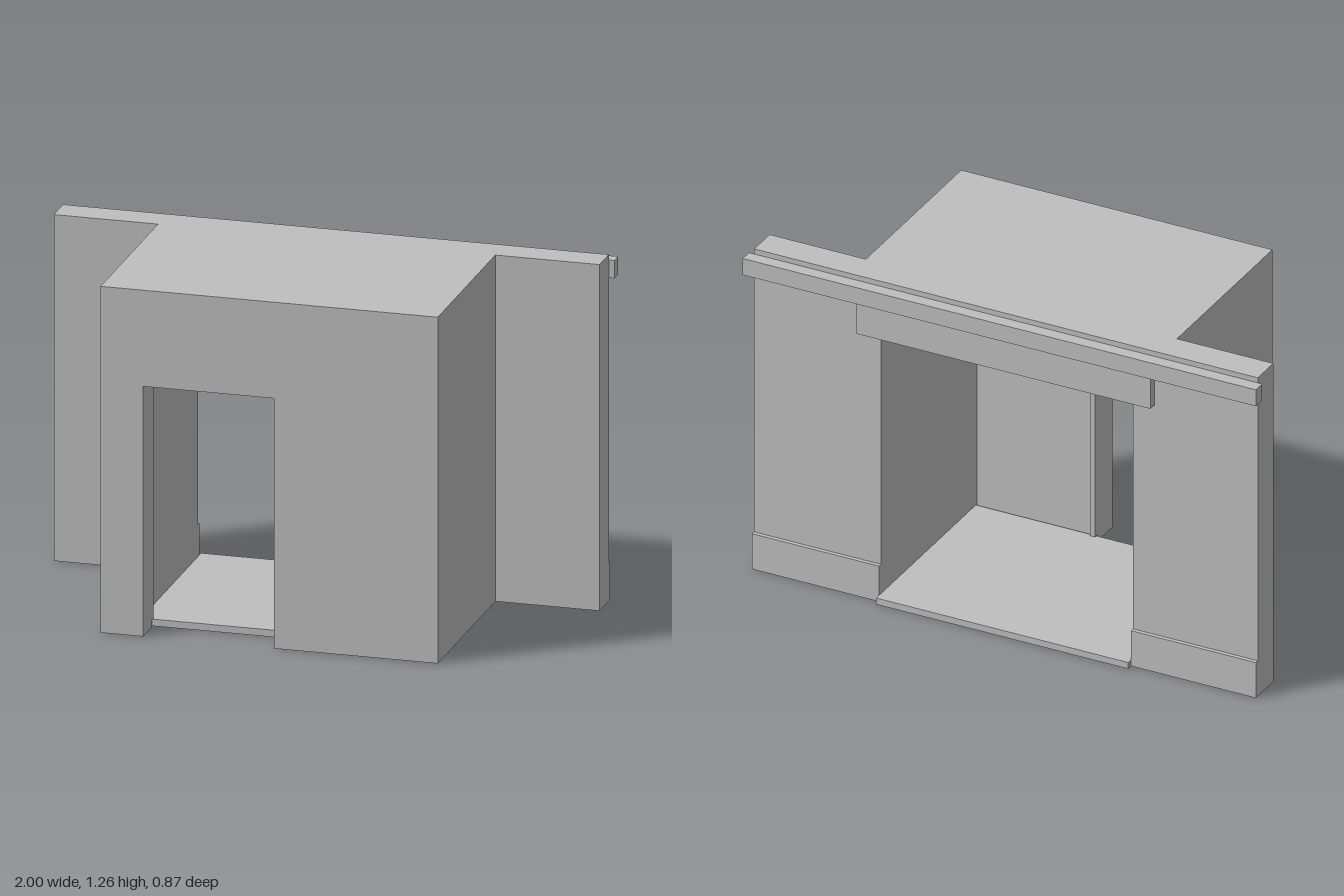
import * as THREE from 'three';

export function createModel() {
  const model = new THREE.Group();
  model.name = 'entranceRoom';
  const grey = new THREE.MeshStandardMaterial({ color: 0xbfbfbf });
  grey.name = 'plain grey';

  function add(name, geometry) {
    const mesh = new THREE.Mesh(geometry, grey);
    mesh.name = name;
    model.add(mesh);
    return mesh;
  }

  // Box given by its low and high limits on each axis
  function block(name, [x0, x1], [y0, y1], [z0, z1]) {
    const g = new THREE.BoxGeometry(x1 - x0, y1 - y0, z1 - z0);
    g.translate((x0 + x1) / 2, (y0 + y1) / 2, (z0 + z1) / 2);
    return add(name, g);
  }

  // Upright wall with a doorway cut from its bottom edge
  function wallWithOpening(name, [x0, x1], [a, b], head, height, [z0, z1]) {
    const shape = new THREE.Shape([
      [x0, 0], [a, 0], [a, head], [b, head], [b, 0], [x1, 0], [x1, height], [x0, height],
    ].map(([x, y]) => new THREE.Vector2(x, y)));
    const g = new THREE.ExtrudeGeometry(shape, { depth: z1 - z0, bevelEnabled: false });
    g.translate(0, 0, z0);
    return add(name, g);
  }

  const H = 1.26;
  const ceiling = 1.2;
  const outer = [-0.608, 0.605];
  const inner = [-0.497, 0.485];
  const wide = [-0.983, 0.98];
  const door = [-0.455, 0.015];
  const doorHead = 0.91;
  const zBack = -0.39, zStep = -0.275, zInner = 0.325, zFront = 0.435;

  // Shell of the room
  wallWithOpening('frontWall', outer, door, doorHead, H, [zInner, zFront]);
  wallWithOpening('backWall', wide, inner, 1.057, H, [zBack, zStep]);
  block('rightWall', [outer[0], inner[0]], [0, ceiling], [zStep, zInner]);
  block('leftWall', [inner[1], outer[1]], [0, ceiling], [zStep, zInner]);
  block('roof', outer, [ceiling, H], [zStep, zInner]);
  block('floor', inner, [0, 0.025], [-0.427, 0.315]);

  // Trim on the back wall
  block('corniceRail', [-1, 1], [1.175, 1.24], [-0.437, zBack]);
  block('lintel', [-0.58, 0.565], [1.047, 1.165], [-0.42, zBack]);
  block('rightBaseboard', [wide[0], inner[0]], [0, 0.14], [-0.405, zBack]);
  block('leftBaseboard', [inner[1], wide[1]], [0, 0.14], [-0.405, zBack]);

  // Casing around the inside of the doorway
  block('rightDoorCasing', [door[0] - 0.02, door[0]], [0.025, doorHead], [0.305, zInner]);
  block('leftDoorCasing', [door[1], door[1] + 0.02], [0.025, doorHead], [0.305, zInner]);
  block('doorHeadCasing', [-0.488, 0.05], [doorHead, 0.972], [0.29, zInner]);

  return model;
}
